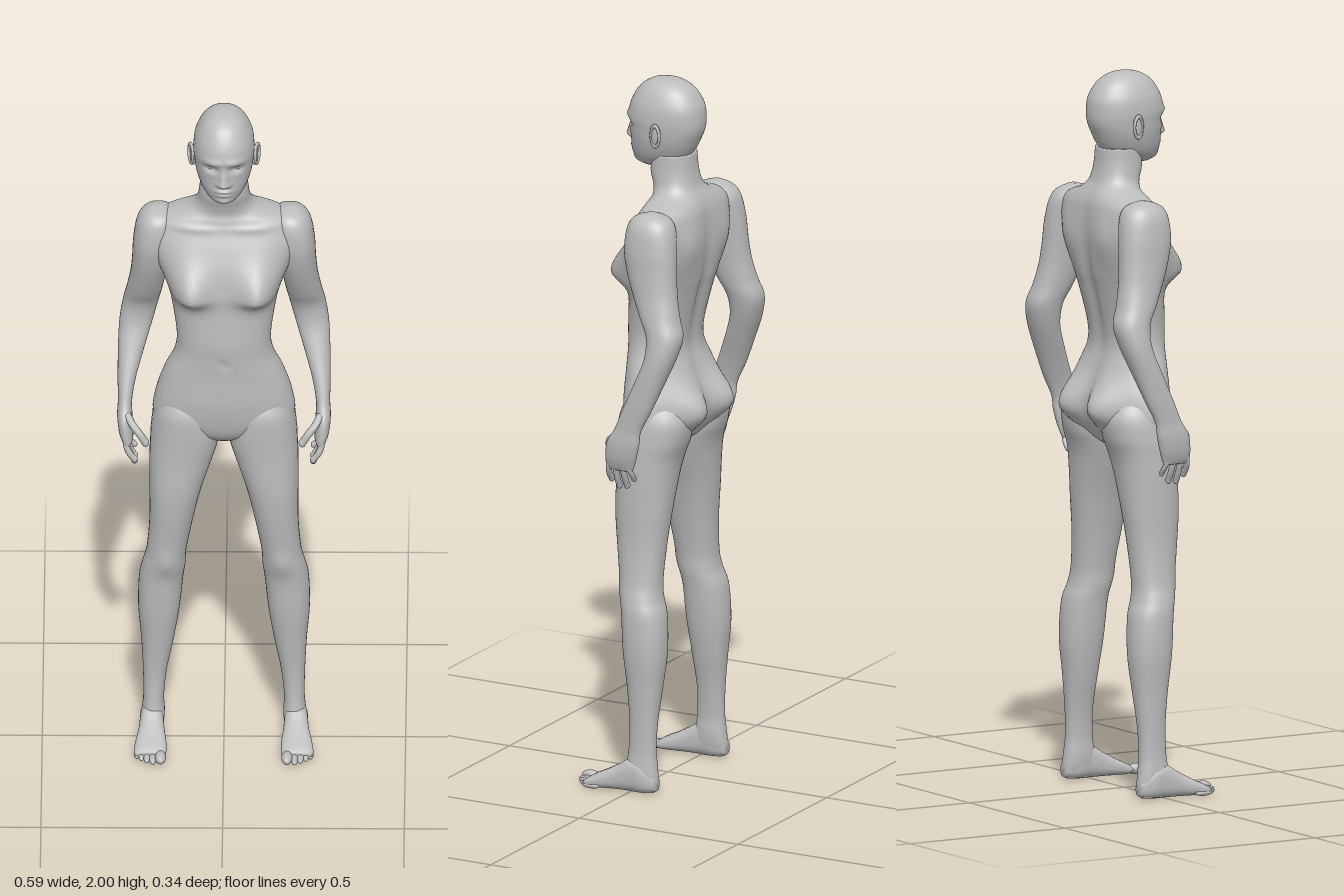
import * as THREE from 'three';

const skin = new THREE.MeshStandardMaterial({ color: 0xbcbcbc });
skin.name = 'plain grey';

const hill = (dx, dy, sx, sy) => Math.exp(-((dx / sx) ** 2) - (dy / sy) ** 2);

function cubic(a, b, c, d, t) {
  return b + 0.5 * t * (c - a + t * (2 * a - 5 * b + 4 * c - d + t * (3 * (b - c) + d - a)));
}

// Smooth loft through rows of [y, xInner, xOuter, zBack, zFront]; s = -1 mirrors in x.
// shape(point, w) may push a point in or out; w runs from -1 (back) to 1 (front).
function loft(rows, { s = 1, segs = 40, steps = 5, e = 0.9, shape } = {}) {
  const pos = [], idx = [], p = new THREE.Vector3();
  const row = i => rows[Math.max(0, Math.min(rows.length - 1, i))];
  const count = (rows.length - 1) * steps + 1;
  const mids = [];
  for (let k = 0; k < count; k++) {
    const i = Math.min(Math.floor(k / steps), rows.length - 2), t = k / steps - i;
    const [y, xa, xb, zb, zf] = row(i).map((_, n) => cubic(row(i - 1)[n], row(i)[n], row(i + 1)[n], row(i + 2)[n], t));
    const cx = s * (xa + xb) / 2, rx = Math.abs(xb - xa) / 2, cz = (zb + zf) / 2, rz = (zf - zb) / 2;
    mids.push([cx, y, cz]);
    for (let j = 0; j < segs; j++) {
      const a = j / segs * Math.PI * 2, c = Math.cos(a), w = Math.sin(a);
      p.set(cx + rx * Math.sign(c) * Math.abs(c) ** e, y, cz + rz * Math.sign(w) * Math.abs(w) ** e);
      if (shape) shape(p, w);
      pos.push(p.x, p.y, p.z);
    }
  }
  pos.push(...mids[0], ...mids[count - 1]);
  const down = rows[0][0] > rows[rows.length - 1][0];
  const tri = (a, b, c) => (down ? idx.push(a, b, c) : idx.push(a, c, b));
  const top = count * segs, last = (count - 1) * segs;
  for (let j = 0; j < segs; j++) {
    const n = (j + 1) % segs;
    for (let k = 0; k < count - 1; k++) {
      const a = k * segs;
      tri(a + j, a + n, a + segs + j);
      tri(a + n, a + segs + n, a + segs + j);
    }
    tri(top, n, j);
    tri(top + 1, last + j, last + n);
  }
  const g = new THREE.BufferGeometry();
  g.setAttribute('position', new THREE.Float32BufferAttribute(pos, 3));
  g.setIndex(idx);
  g.computeVertexNormals();
  return g;
}

function add(parent, name, geometry, position = [0, 0, 0], scale = [1, 1, 1]) {
  const m = new THREE.Mesh(geometry, skin);
  m.name = name;
  m.position.set(...position);
  m.scale.set(...scale);
  parent.add(m);
  return m;
}

// Rows that are symmetric about x = 0: [y, halfWidth, zBack, zFront]
const centred = rows => rows.map(([y, x, zb, zf]) => [y, -x, x, zb, zf]);

const ball = new THREE.SphereGeometry(1, 20, 14);

const headRows = centred([
  [2.0, 0.008, -0.01, 0.01], [1.993, 0.034, -0.045, 0.045], [1.97, 0.06, -0.08, 0.08],
  [1.93, 0.079, -0.105, 0.104], [1.89, 0.084, -0.11, 0.113], [1.86, 0.082, -0.107, 0.11],
  [1.83, 0.078, -0.095, 0.106], [1.8, 0.069, -0.08, 0.105], [1.775, 0.057, -0.06, 0.101],
  [1.757, 0.041, -0.025, 0.094], [1.745, 0.02, 0.0, 0.075]]);

const torsoRows = centred([
  [1.79, 0.064, -0.08, 0.035], [1.74, 0.068, -0.085, 0.042], [1.7, 0.077, -0.095, 0.03],
  [1.675, 0.105, -0.11, 0.025], [1.655, 0.165, -0.12, 0.03], [1.63, 0.2, -0.127, 0.037],
  [1.58, 0.207, -0.132, 0.06], [1.52, 0.187, -0.132, 0.08], [1.45, 0.158, -0.123, 0.09],
  [1.4, 0.145, -0.11, 0.09], [1.3, 0.13, -0.086, 0.096], [1.24, 0.136, -0.08, 0.093],
  [1.18, 0.163, -0.092, 0.09], [1.1, 0.188, -0.108, 0.09], [1.03, 0.192, -0.1, 0.08],
  [0.99, 0.13, -0.085, 0.065], [0.965, 0.05, -0.06, 0.04]]);

const legRows = [
  [1.12, 0.05, 0.165, -0.08, 0.05], [1.06, 0.02, 0.19, -0.12, 0.08], [1.0, 0.01, 0.2, -0.117, 0.083],
  [0.95, 0.015, 0.203, -0.1, 0.081], [0.9, 0.03, 0.205, -0.09, 0.08], [0.8, 0.062, 0.205, -0.08, 0.08],
  [0.7, 0.085, 0.205, -0.07, 0.07], [0.6, 0.103, 0.213, -0.065, 0.055], [0.55, 0.106, 0.225, -0.07, 0.048],
  [0.5, 0.112, 0.234, -0.085, 0.04], [0.4, 0.122, 0.236, -0.09, 0.033], [0.3, 0.138, 0.228, -0.08, 0.02],
  [0.2, 0.157, 0.223, -0.07, 0.01], [0.12, 0.165, 0.222, -0.068, 0.012], [0.07, 0.163, 0.226, -0.073, 0.02],
  [0.03, 0.167, 0.226, -0.077, 0.03], [0.003, 0.178, 0.218, -0.068, 0.03]];

const armRows = [
  [1.665, 0.17, 0.195, -0.06, -0.04], [1.65, 0.14, 0.222, -0.1, 0.0], [1.62, 0.13, 0.24, -0.12, 0.018],
  [1.56, 0.14, 0.25, -0.13, 0.022], [1.5, 0.15, 0.253, -0.134, 0.01], [1.44, 0.16, 0.258, -0.14, -0.012],
  [1.38, 0.17, 0.268, -0.153, -0.04], [1.33, 0.18, 0.278, -0.168, -0.066], [1.27, 0.196, 0.288, -0.155, -0.068],
  [1.2, 0.218, 0.292, -0.128, -0.043], [1.12, 0.242, 0.293, -0.095, -0.01], [1.06, 0.253, 0.292, -0.066, 0.014],
  [1.02, 0.252, 0.294, -0.06, 0.038], [0.98, 0.25, 0.29, -0.05, 0.045], [0.955, 0.25, 0.283, -0.042, 0.045],
  [0.94, 0.256, 0.276, -0.036, 0.04]];

// Foot rows run along z: [z, xInner, xOuter, -top, -bottom]
const footRows = [
  [-0.075, 0.182, 0.213, -0.045, -0.008], [-0.04, 0.167, 0.229, -0.085, 0], [0.0, 0.166, 0.231, -0.095, 0],
  [0.04, 0.163, 0.235, -0.072, 0], [0.08, 0.158, 0.243, -0.05, 0], [0.115, 0.158, 0.247, -0.033, 0],
  [0.133, 0.163, 0.243, -0.022, -0.005]];

// Brow, eye sockets, nose, lips and chin
function shapeFace(p, w) {
  if (w <= 0) return;
  const x = Math.abs(p.x), y = p.y;
  const nose = y > 1.822 ? Math.max(0, 1 - (y - 1.822) / 0.055) : Math.exp(-(((y - 1.822) / 0.008) ** 2));
  p.z += 0.025 * nose * Math.exp(-((x / (0.009 + 0.005 * nose)) ** 2));
  p.z += 0.006 * hill(x - 0.014, y - 1.819, 0.007, 0.007);
  p.z -= 0.013 * hill(x - 0.034, y - 1.866, 0.019, 0.011);
  p.z += 0.005 * hill(x - 0.03, y - 1.89, 0.03, 0.009);
  p.z += 0.008 * hill(x, y - 1.797, 0.022, 0.005) + 0.007 * hill(x, y - 1.784, 0.018, 0.005);
  p.z += 0.006 * hill(x, y - 1.762, 0.018, 0.01);
}

// Chest, navel, collarbones, shoulder blades, spine and seat
function shapeTorso(p, w) {
  const x = Math.abs(p.x), y = p.y, k = Math.min(1, 2 * Math.abs(w));
  if (w > 0) {
    p.z += k * 0.054 * hill(x - 0.098, y - 1.45, 0.052, y > 1.45 ? 0.075 : 0.034);
    p.z -= k * 0.006 * hill(x, y - 1.235, 0.01, 0.012);
    p.z += k * 0.006 * hill(x - 0.08, y - 1.635, 0.07, 0.01);
  } else {
    p.z -= k * 0.06 * hill(x - 0.08, y - 1.07, 0.06, y > 1.07 ? 0.08 : 0.055);
    p.z -= k * 0.012 * hill(x - 0.1, y - 1.55, 0.05, 0.07);
    p.z += k * 0.012 * hill(x, y - 1.42, 0.022, 0.2);
  }
}

function addSide(body, s, side) {
  const leg = new THREE.Group(), arm = new THREE.Group();
  leg.name = side + 'LegGroup';
  arm.name = side + 'ArmGroup';
  body.add(leg, arm);

  // Leg with kneecap, foot and toes
  add(leg, side + 'Leg', loft(legRows, {
    s, shape: (p, w) => { if (w > 0) p.z += w * 0.009 * hill(Math.abs(p.x) - 0.158, p.y - 0.575, 0.03, 0.035); }
  }));
  add(leg, side + 'Foot', loft(footRows, { s, e: 0.75 }).rotateX(Math.PI / 2));
  [[0.174, 0.172, 0.015], [0.195, 0.17, 0.01], [0.211, 0.162, 0.0095], [0.226, 0.15, 0.009], [0.239, 0.138, 0.0085]]
    .forEach(([x, tip, r]) => add(leg, side + 'Toe', ball, [s * x, r, tip - 0.028], [r, r, 0.028]));

  // Arm and palm
  add(arm, side + 'Arm', loft(armRows, { s }));

  // Fingers and thumb: bent tubes with round tips
  const digit = (name, r, pts) => {
    const v = pts.map(([x, y, z]) => new THREE.Vector3(s * x, y, z));
    add(arm, name, new THREE.TubeGeometry(new THREE.CatmullRomCurve3(v), 12, r, 10));
    add(arm, name + 'Tip', ball, v[v.length - 1].toArray(), [r, r * 1.2, r]);
  };
  [[0.036, 0.906], [0.014, 0.889], [-0.008, 0.892], [-0.028, 0.913]].forEach(([z, y], i) =>
    digit(side + 'Finger', i === 3 ? 0.0075 : 0.0088,
      [[0.268, 0.975, z * 0.9], [0.268, 0.945, z], [0.26, (0.945 + y) / 2, z * 1.1], [0.246, y, z * 1.1]]));
  digit(side + 'Thumb', 0.0105, [[0.266, 1.035, 0.018], [0.25, 1.015, 0.043], [0.232, 0.995, 0.055], [0.216, 0.97, 0.058]]);

  // Ear: shell and rim
  const ear = add(body, side + 'Ear', ball, [s * 0.085, 1.852, -0.008], [0.008, 0.03, 0.017]);
  const rim = add(body, side + 'EarRim', new THREE.TorusGeometry(0.02, 0.0045, 8, 24), [s * 0.091, 1.854, -0.01], [0.85, 1.45, 1]);
  ear.rotation.set(-0.15, s * -0.3, 0);
  rim.rotation.set(0, s * (Math.PI / 2 - 0.35), 0);

  // Eye
  add(body, side + 'Eye', ball, [s * 0.033, 1.866, 0.083], [0.014, 0.0075, 0.009]);
}

export function createModel() {
  const body = new THREE.Group();
  body.name = 'standingFigure';
  add(body, 'head', loft(headRows, { segs: 96, steps: 8, e: 0.92, shape: shapeFace }));
  add(body, 'torso', loft(torsoRows, { segs: 72, steps: 6, shape: shapeTorso }));
  addSide(body, 1, 'left');
  addSide(body, -1, 'right');
  return body;
}
